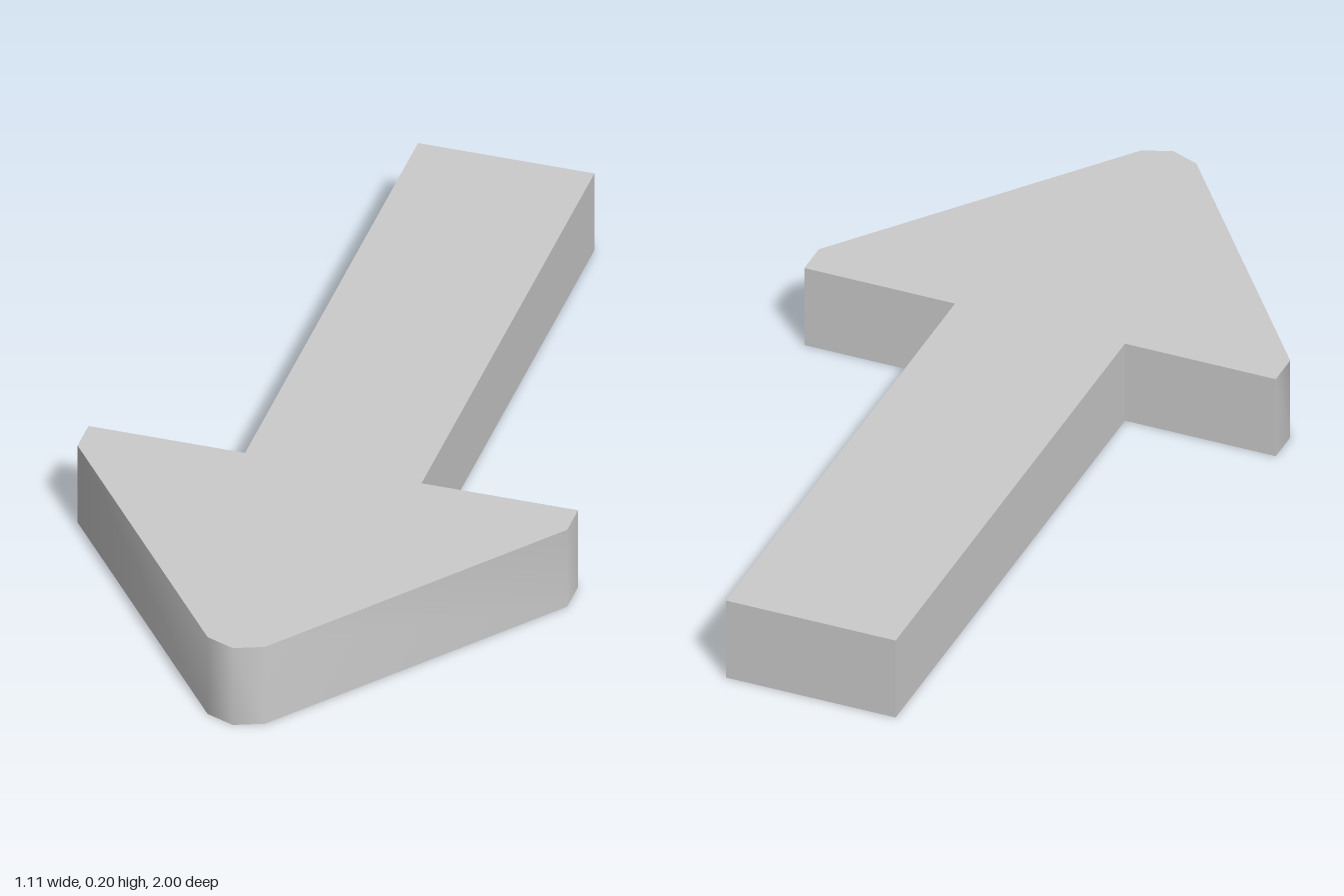
import * as THREE from 'three';
import { toCreasedNormals } from 'three/addons/utils/BufferGeometryUtils.js';

export function createModel() {
  const group = new THREE.Group();
  group.name = 'arrow';

  // Left half of the outline as [x, z], from the blunt tip back to the shaft end
  const half = [[0.065, 0.975], [0.555, 0.345], [0.555, 0.265], [0.2, 0.265], [0.2, -1]];
  const mirrored = half.map(([x, z]) => [-x, z]).reverse();
  const outline = [[0, 1], ...half, ...mirrored];

  // Extrude the outline, then lay it flat with the tip facing +z
  const shape = new THREE.Shape(outline.map(([x, z]) => new THREE.Vector2(x, -z)));
  const slab = new THREE.ExtrudeGeometry(shape, { depth: 0.2, bevelEnabled: false });
  slab.rotateX(-Math.PI / 2);

  // Round the shading over the tip and barbs, keep the square corners sharp
  const geometry = toCreasedNormals(slab, 0.8);
  const arrow = new THREE.Mesh(geometry, new THREE.MeshStandardMaterial({ color: 0xcccccc }));
  arrow.name = 'arrowBody';
  group.add(arrow);
  return group;
}
